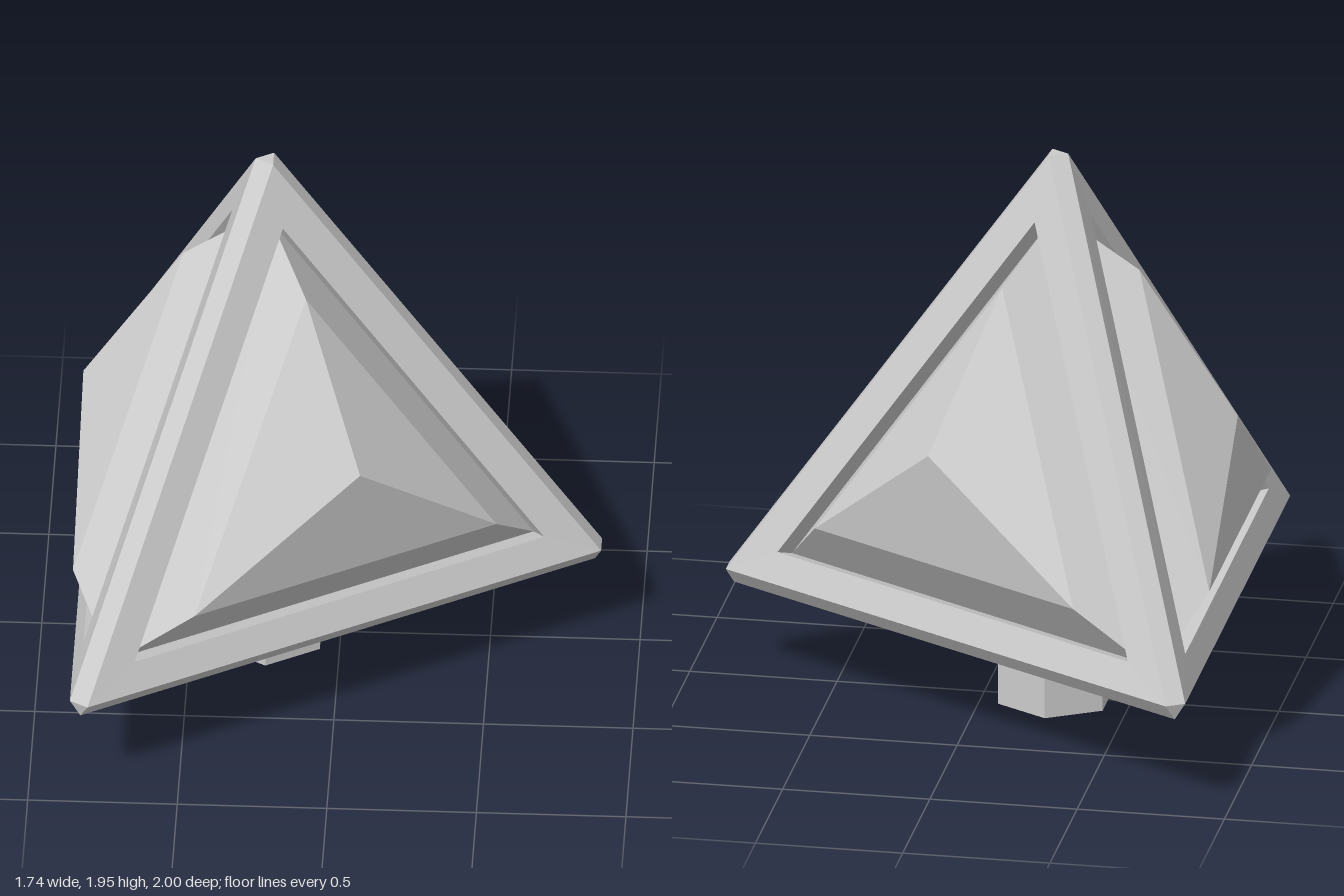
import * as THREE from 'three';

const material = new THREE.MeshStandardMaterial({ color: 0xcccccc, flatShading: true });

// Point on side k: distance d from the axis at x = cx, t along the side, height y
function point(k, cx, d, t, y) {
  const a = Math.PI / 3 + (k * Math.PI * 2) / 3;
  return [cx + d * Math.cos(a) - t * Math.sin(a), y, d * Math.sin(a) + t * Math.cos(a)];
}

// Triangular ring on side k: left corner, right corner, top
function ring(k, low, high) {
  return [
    point(k, low.cx, low.d, low.t, low.y),
    point(k, low.cx, low.d, -low.t, low.y),
    point(k, high.cx, high.d, 0, high.y),
  ];
}

// Collects convex polygons (counter-clockwise from outside) into one mesh
function polygonMesh(name, polygons) {
  const positions = [];
  for (const p of polygons) {
    for (let i = 1; i < p.length - 1; i++) positions.push(...p[0], ...p[i], ...p[i + 1]);
  }
  const geometry = new THREE.BufferGeometry();
  geometry.setAttribute('position', new THREE.Float32BufferAttribute(positions, 3));
  geometry.computeVertexNormals();
  const mesh = new THREE.Mesh(geometry, material);
  mesh.name = name;
  return mesh;
}

// Band of quads joining an outer triangle to an inner one
function band(outer, inner) {
  return outer.map((p, i) => {
    const j = (i + 1) % 3;
    return [p, outer[j], inner[j], inner[i]];
  });
}

export function createModel() {
  const group = new THREE.Group();
  const sides = [0, 1, 2];

  // Outline, window and recessed floor edge of each side
  const outer = sides.map(k => ring(k,
    { cx: -0.263, d: 0.5975, t: 0.965, y: 0.39 }, { cx: -0.245, d: 0.04, y: 1.95 }));
  const windows = sides.map(k => ring(k,
    { cx: -0.263, d: 0.5615, t: 0.769, y: 0.49 }, { cx: -0.247, d: 0.1155, y: 1.735 }));
  const floors = sides.map(k => ring(k,
    { cx: -0.263, d: 0.4865, t: 0.769, y: 0.464 }, { cx: -0.247, d: 0.0405, y: 1.709 }));

  // Corners of the underside
  const corners = sides.map(k => {
    const a = ((k + 1) * Math.PI * 2) / 3;
    return [-0.267 + 1.117 * Math.cos(a), 0.333, 1.117 * Math.sin(a)];
  });

  // Frame: windowed sides, bevelled ridges, bevelled lower edges and corner tips
  const frame = [];
  for (const k of sides) {
    const next = outer[(k + 1) % 3];
    const [left, right, top] = outer[k];
    frame.push(...band(outer[k], windows[k]), ...band(windows[k], floors[k]));
    frame.push([next[1], left, top, next[2]]);
    frame.push([corners[k], left, next[1]]);
    frame.push([corners[k], corners[(k + 2) % 3], right, left]);
  }
  frame.push([outer[2][2], outer[1][2], outer[0][2]]);
  frame.push(corners);
  group.add(polygonMesh('frame', frame));

  // Two-step pyramid swelling out of each window
  for (const k of sides) {
    const tier = ring(k,
      { cx: -0.263, d: 0.606, t: 0.567, y: 0.64 }, { cx: -0.246, d: 0.281, y: 1.55 });
    const apex = point(k, -0.227, 0.634, 0, 1.05);
    const facets = tier.map((p, i) => [p, tier[(i + 1) % 3], apex]);
    group.add(polygonMesh('sidePyramid' + (k + 1), [...band(floors[k], tier), ...facets]));
  }

  // Hexagonal peg underneath
  const peg = new THREE.Mesh(new THREE.CylinderGeometry(0.205, 0.205, 0.335, 6), material);
  peg.name = 'peg';
  peg.position.set(-0.243, 0.1675, 0);
  group.add(peg);

  return group;
}
